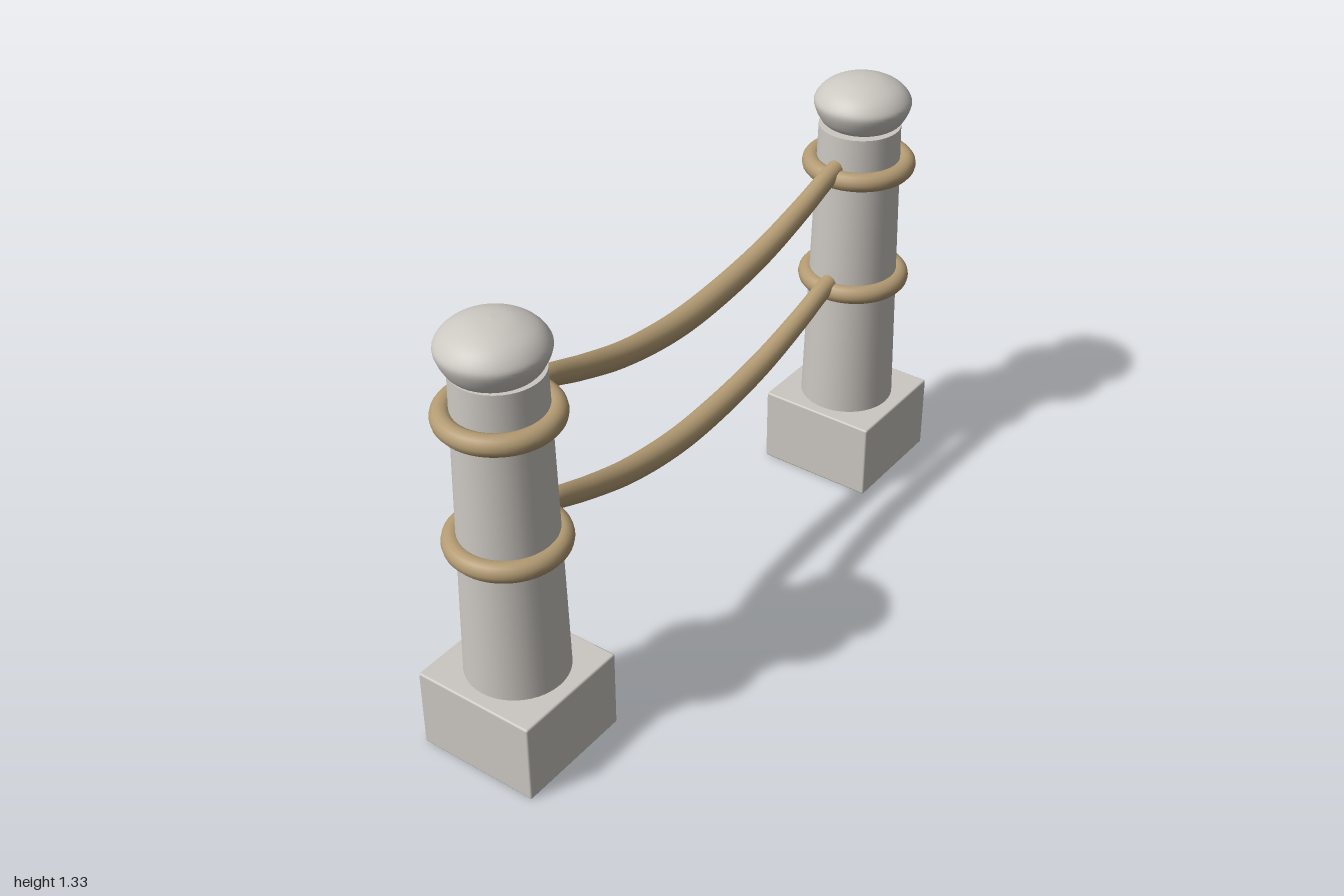
import * as THREE from 'three';
import { RoundedBoxGeometry } from 'three/addons/geometries/RoundedBoxGeometry.js';

const POST_X = 0.815;
const RING_HEIGHTS = [1.054, 0.672];

export function createModel() {
  const stone = new THREE.MeshStandardMaterial({ name: 'stone', color: 0xcbc7c1 });
  const rope = new THREE.MeshStandardMaterial({ name: 'rope', color: 0xb39b73 });
  const model = new THREE.Group();
  model.name = 'ropeBarrier';

  const add = (parent, name, geometry, material, x = 0, y = 0, z = 0) => {
    const mesh = new THREE.Mesh(geometry, material);
    mesh.name = name;
    mesh.position.set(x, y, z);
    parent.add(mesh);
    return mesh;
  };

  // Rounded, slightly flattened stone cap
  const capProfile = new THREE.SplineCurve([
    [0.098, 1.178], [0.122, 1.195], [0.143, 1.24], [0.138, 1.267],
    [0.108, 1.297], [0.055, 1.319], [0, 1.325],
  ].map(([r, y]) => new THREE.Vector2(r, y))).getPoints(24);
  capProfile.forEach((p) => { p.x = Math.max(p.x, 0); });
  capProfile.unshift(new THREE.Vector2(0, 1.178));

  // Two posts: block base, tapered column, cap and rope rings
  for (const side of [-1, 1]) {
    const post = new THREE.Group();
    post.name = side < 0 ? 'rightPost' : 'leftPost';
    post.position.x = side * POST_X;
    model.add(post);

    add(post, 'base', new RoundedBoxGeometry(0.364, 0.244, 0.374, 2, 0.006), stone, side * 0.003, 0.122);
    add(post, 'column', new THREE.CylinderGeometry(0.122, 0.145, 0.945, 40), stone, 0, 0.7075);
    add(post, 'cap', new THREE.LatheGeometry(capProfile, 40), stone, side * 0.01);

    RING_HEIGHTS.forEach((y) => {
      const ring = new THREE.TorusGeometry(0.141, 0.029, 14, 48);
      ring.rotateX(Math.PI / 2);
      add(post, 'ropeRing', ring, rope, side * 0.004, y);
    });
  }

  // Sagging ropes, thicker in the middle than at the ends
  const path = new THREE.CatmullRomCurve3([
    [-0.71, 0.02], [-0.64, 0.006], [-0.5, -0.042], [-0.32, -0.092], [-0.1, -0.119],
    [0.1, -0.112], [0.32, -0.081], [0.52, -0.029], [0.64, 0.01], [0.71, 0.025],
  ].map(([x, y]) => new THREE.Vector3(x, y, 0)));
  const steps = 64;
  const sides = 16;
  const ropeGeometry = new THREE.TubeGeometry(path, steps, 0.04, sides, false);
  const pos = ropeGeometry.attributes.position;
  const v = new THREE.Vector3();
  for (let i = 0; i < pos.count; i++) {
    const u = Math.floor(i / (sides + 1)) / steps;
    const centre = path.getPointAt(u);
    const thickness = 0.74 + 0.26 * Math.sin(Math.PI * u);
    v.fromBufferAttribute(pos, i).sub(centre).multiplyScalar(thickness);
    v.z *= 0.86;
    v.add(centre);
    pos.setXYZ(i, v.x, v.y, v.z);
  }
  RING_HEIGHTS.forEach((y, i) => {
    add(model, i ? 'lowerRope' : 'upperRope', ropeGeometry, rope, 0, y, -0.003);
  });

  return model;
}
